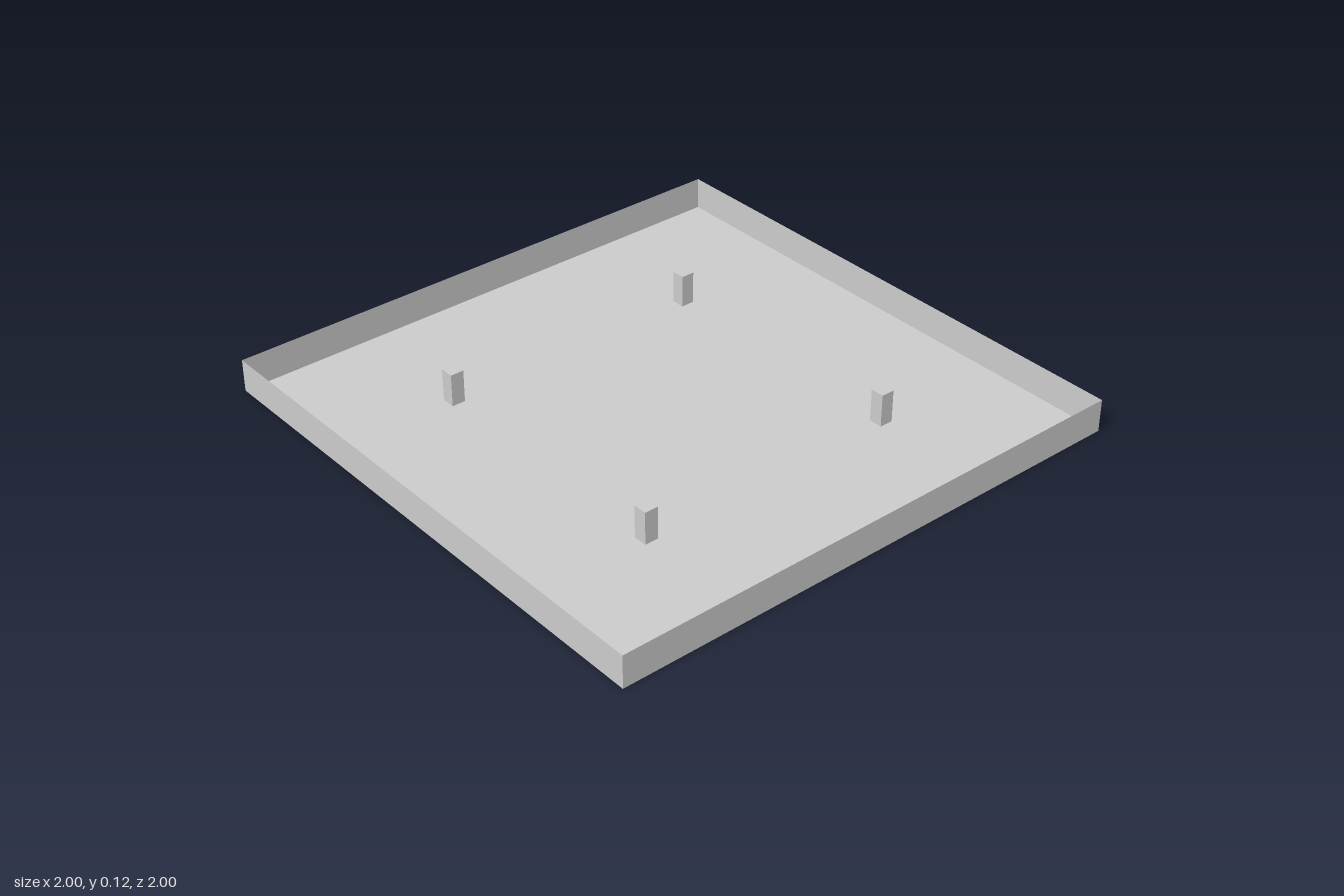
import * as THREE from 'three';

const SIZE = 2, HEIGHT = 0.12, POST = 0.05, POST_OFFSET = 0.5;

const material = new THREE.MeshStandardMaterial({
  color: 0xcccccc, flatShading: true, side: THREE.DoubleSide,
});

// Square outline centred on (x, y)
function trace(path, x, y, size) {
  const h = size / 2;
  path.moveTo(x - h, y - h);
  path.lineTo(x + h, y - h);
  path.lineTo(x + h, y + h);
  path.lineTo(x - h, y + h);
  path.closePath();
  return path;
}

// Four thin upright sheets around a square
function addSides(group, size, name) {
  for (let i = 0; i < 4; i++) {
    const geometry = new THREE.PlaneGeometry(size, HEIGHT);
    geometry.translate(0, HEIGHT / 2, size / 2);
    geometry.rotateY(i * Math.PI / 2);
    const side = new THREE.Mesh(geometry, material);
    side.name = name;
    group.add(side);
  }
}

export function createModel() {
  const model = new THREE.Group();
  model.name = 'tray';

  const floorShape = trace(new THREE.Shape(), 0, 0, SIZE);

  // Hollow posts, capped on top and open through the floor
  for (const x of [-POST_OFFSET, POST_OFFSET]) {
    for (const z of [-POST_OFFSET, POST_OFFSET]) {
      floorShape.holes.push(trace(new THREE.Path(), x, -z, POST));

      const post = new THREE.Group();
      post.name = 'post';
      post.position.set(x, 0, z);
      addSides(post, POST, 'postSide');
      const cap = new THREE.Mesh(new THREE.PlaneGeometry(POST, POST).rotateX(-Math.PI / 2), material);
      cap.name = 'postCap';
      cap.position.y = HEIGHT;
      post.add(cap);
      model.add(post);
    }
  }

  // Thin floor with a square opening under each post
  const floor = new THREE.Mesh(new THREE.ShapeGeometry(floorShape).rotateX(-Math.PI / 2), material);
  floor.name = 'floor';
  model.add(floor);

  // Rim walls
  const rim = new THREE.Group();
  rim.name = 'rim';
  addSides(rim, SIZE, 'rimWall');
  model.add(rim);

  return model;
}
